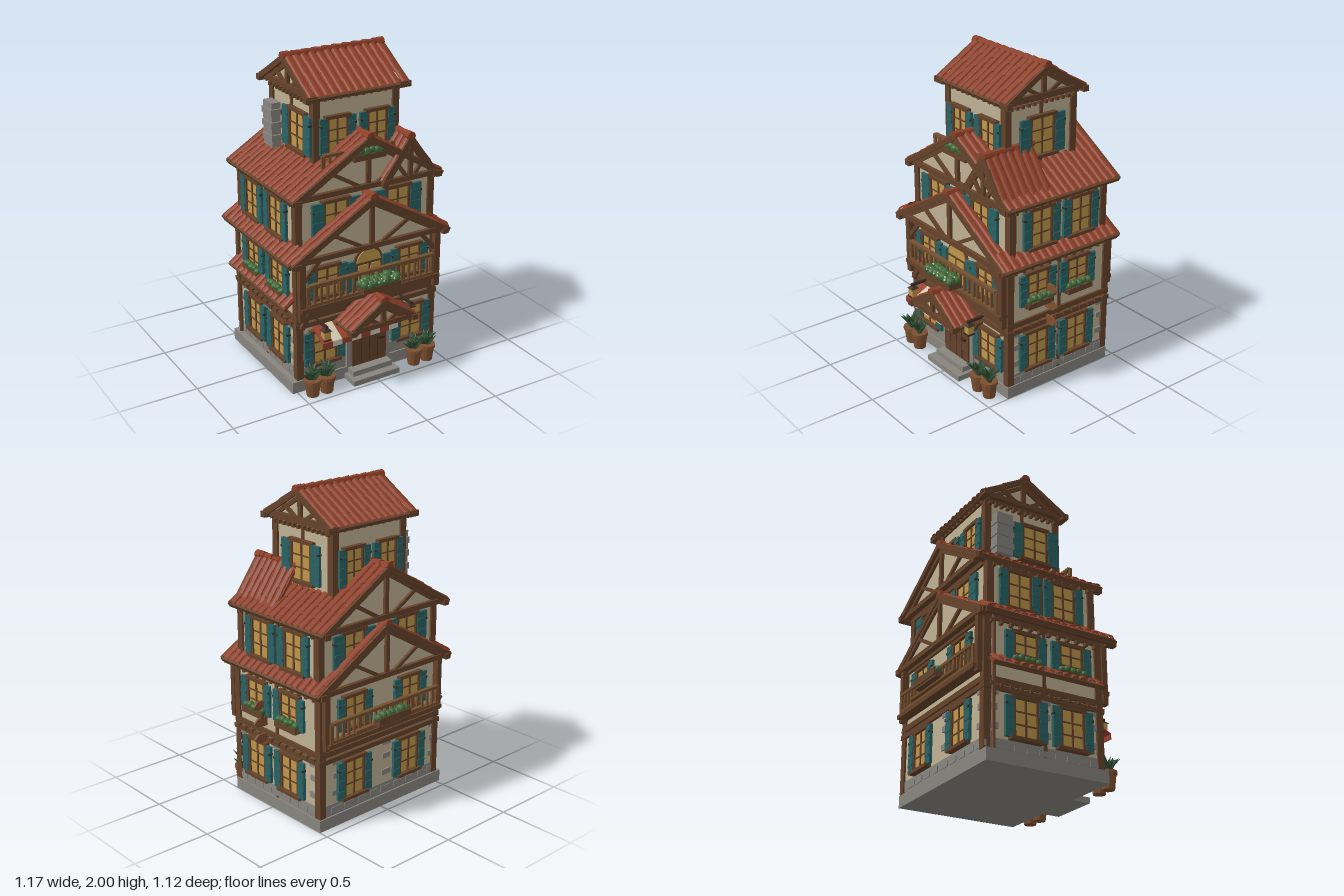
import * as THREE from 'three';
import { mergeGeometries } from 'three/addons/utils/BufferGeometryUtils.js';

const C = { tile: 0x8d3f28, wood: 0x65432a, cream: 0xbfb194, teal: 0x2a6264, glass: 0xbf964a, stone: 0x88857e, dark: 0x3c2b20,
  leaf: 0x3f6637, fern: 0x2f4d33, pot: 0x7d5030, white: 0xd0c8b0, red: 0x98402f, rail: 0x75502f };
const mats = {};
const mat = c => mats[c] ??= new THREE.MeshStandardMaterial({ color: C[c], flatShading: true, side: THREE.DoubleSide });

function mesh(parent, name, c, geo, x = 0, y = 0, z = 0) {
  const m = new THREE.Mesh(geo, mat(c));
  m.name = name;
  m.position.set(x, y, z);
  parent.add(m);
  return m;
}
const box = (p, name, c, w, h, d, x, y, z) => mesh(p, name, c, new THREE.BoxGeometry(w, h, d), x, y, z);
function group(parent, name, x = 0, y = 0, z = 0, ry = 0) {
  const g = new THREE.Group();
  g.name = name;
  g.position.set(x, y, z);
  g.rotation.y = ry;
  parent.add(g);
  return g;
}
// straight timber between two points of a plane z = const
function beam(p, name, x0, y0, x1, y1, z, t = 0.03, d = 0.02) {
  const m = box(p, name, 'wood', Math.hypot(x1 - x0, y1 - y0), t, d, (x0 + x1) / 2, (y0 + y1) / 2, z);
  m.rotation.z = Math.atan2(y1 - y0, x1 - x0);
}

// tiled slope: falls along local +x, as wide as len along z
function tileSlope(parent, name, run, len) {
  const g = group(parent, name);
  box(g, 'roofBoard', 'tile', run - 0.01, 0.016, len - 0.012, run / 2, -0.01, 0);
  box(g, 'fascia', 'wood', 0.016, 0.026, len, run - 0.006, -0.012, 0);
  const cols = Math.max(1, Math.round(len / 0.055)), rows = Math.max(1, Math.round(run / 0.085));
  const w = (len - 0.012) / cols, l = (run - 0.012) / rows, tiles = [];
  for (let i = 0; i < cols; i++) for (let j = 0; j < rows; j++) {
    const t = new THREE.CylinderGeometry(w * 0.41, w * 0.49, l * 1.06, 6, 1, true, 0, Math.PI);
    t.rotateZ(Math.PI / 2).scale(1, 0.62, 1);
    t.translate((j + 0.5) * l, (i * 7 + j * 3) % 5 * 0.0012, (i + 0.5 - cols / 2) * w);
    tiles.push(t);
  }
  mesh(g, 'roofTiles', 'tile', mergeGeometries(tiles));
  return g;
}

// gable roof, ridge along z through the group origin; ends lists the sides with a timbered gable
function gable(parent, name, { s, h, L, ends, inset = 0.045, pos, ry = 0 }) {
  const g = group(parent, name, ...pos, ry);
  for (const a of [0, Math.PI]) {
    const side = group(g, 'roofSide', 0, 0, 0, a);
    tileSlope(side, 'tiledSlope', Math.hypot(s, h), L).rotation.z = -Math.atan2(h, s);
  }
  const n = Math.max(2, Math.round(L / 0.07));
  for (let i = 0; i < n; i++) {
    const cap = new THREE.CylinderGeometry(0.017, 0.023, L / n * 1.04, 8).rotateX(Math.PI / 2);
    mesh(g, 'ridgeTile', 'tile', cap, 0, 0.004, (i + 0.5) * L / n - L / 2);
  }
  for (const e of ends) {
    const k = 0.87, z = e * (L / 2 - inset), zf = z + e * 0.014, ze = e * (L / 2 - 0.008);
    const tri = new THREE.Shape([[-s * k, -h], [s * k, -h], [s * k, -h * k], [0, -0.01], [-s * k, -h * k]].map(p => new THREE.Vector2(...p)));
    mesh(g, 'gablePanel', 'cream', new THREE.ExtrudeGeometry(tri, { depth: 0.012, bevelEnabled: false }), 0, 0, z - 0.006);
    mesh(g, 'ridgeEnd', 'tile', new THREE.CylinderGeometry(0.028, 0.028, 0.045, 8).rotateX(Math.PI / 2), 0, 0, e * (L / 2 - 0.022));
    box(g, 'tieBeam', 'wood', s * 1.9, 0.032, 0.035, 0, -h + 0.005, zf);
    box(g, 'kingPost', 'wood', 0.028, h, 0.024, 0, -h / 2 - 0.01, zf);
    for (const m of [-1, 1]) {
      beam(g, 'bargeBoard', 0, -0.012, m * (s - 0.008), -h - 0.008, ze, 0.034, 0.02);
      beam(g, 'innerRafter', 0, -0.045, m * s * k, -h * k - 0.045, zf, 0.024);
      beam(g, 'strut', m * s * 0.08, -h, m * s * 0.5, -h * 0.58, zf, 0.022);
      box(g, 'eaveEnd', 'wood', 0.04, 0.035, inset + 0.02, m * s * 0.93, -h - 0.005, z + e * inset / 2);
    }
  }
  return g;
}

function flowers(parent, name, w, x, y, z, { ry = 0, blooms = false, rows = 1, r = 0.025 } = {}) {
  const g = group(parent, name, x, y, z, ry);
  box(g, 'planter', 'wood', w, 0.035, 0.045 * rows, 0, -0.015, 0);
  const n = Math.round(w / 0.036);
  for (let i = 0; i < n; i++) for (let j = 0; j < rows; j++) {
    const px = (i + 0.5) * w / n - w / 2, pz = (j - (rows - 1) / 2) * 0.042;
    mesh(g, 'bush', 'leaf', new THREE.IcosahedronGeometry(r + (i + j) % 3 * 0.003, 1), px, 0.015 + (i + j) % 2 * 0.008, pz);
    if (blooms) for (const b of [0, 1]) mesh(g, 'bloom', 'white', new THREE.IcosahedronGeometry(0.008, 0), px + 0.01 * b, 0.038 - b * 0.012, pz + 0.012 + b * 0.01);
  }
}

// shuttered window centred on x, y, facing local +z
function windowUnit(parent, x, y, z, ry, w, h, { sw = 0.055, planter = false } = {}) {
  const g = group(parent, 'window', x, y, z, ry);
  box(g, 'glass', 'glass', w, h, 0.016, 0, 0, 0.006);
  for (const m of [-1, 1]) {
    box(g, 'jamb', 'wood', 0.014, h + 0.02, 0.03, m * w / 2, 0, 0.01);
    box(g, 'shutter', 'teal', sw, h + 0.02, 0.018, m * (w / 2 + sw / 2 + 0.006), 0, 0.02);
    for (const k of [-0.32, 0, 0.32]) box(g, 'shutterBatten', 'teal', sw * 0.9, 0.016, 0.025, m * (w / 2 + sw / 2 + 0.006), k * h, 0.021);
    box(g, 'hinge', 'dark', 0.012, 0.012, 0.027, m * (w / 2 + sw), h * 0.32, 0.021);
  }
  box(g, 'mullion', 'wood', 0.012, h, 0.024, 0, 0, 0.008);
  for (const k of [-0.17, 0.17]) box(g, 'glazingBar', 'wood', w, 0.008, 0.022, 0, k * h, 0.008);
  box(g, 'lintel', 'wood', w + 0.04, 0.02, 0.036, 0, h / 2 + 0.012, 0.012);
  box(g, 'sill', 'wood', w + 0.06, 0.02, 0.046, 0, -h / 2 - 0.012, 0.016);
  if (planter) flowers(g, 'windowFlowers', w + 0.04, 0, -h / 2 + 0.005, 0.034, { r: 0.021 });
}

function storey(parent, name, w, z0, z1, y0, y1) {
  const g = group(parent, name), d = z1 - z0, zc = (z0 + z1) / 2;
  box(g, 'walls', 'cream', w, y1 - y0, d, 0, (y0 + y1) / 2, zc);
  for (const sx of [-1, 1]) {
    for (const z of [z0, z1]) box(g, 'cornerPost', 'wood', 0.045, y1 - y0, 0.045, sx * (w / 2 - 0.01), (y0 + y1) / 2, z + (z === z0 ? 0.01 : -0.01));
    box(g, 'middlePost', 'wood', 0.02, y1 - y0, 0.022, sx * w / 2, (y0 + y1) / 2, zc);
  }
  box(g, 'topBeam', 'wood', w + 0.03, 0.035, d + 0.03, 0, y1 - 0.015, zc);
  // joist ends below the beam
  for (let i = 0; i < 12; i++) for (const sx of [-1, 1]) box(g, 'joistEnd', 'wood', 0.04, 0.022, 0.018, sx * (w / 2 + 0.01), y1 - 0.045, z0 + (i + 0.5) * d / 12);
}

function railing(parent, name, x0, x1, y, z, h) {
  const g = group(parent, name), w = x1 - x0, xc = (x0 + x1) / 2, n = Math.round(w / 0.045);
  box(g, 'topRail', 'rail', w, 0.018, 0.028, xc, y + h, z);
  box(g, 'bottomRail', 'rail', w, 0.016, 0.022, xc, y + 0.02, z);
  for (let i = 0; i <= n; i++) box(g, 'baluster', 'rail', i % 5 ? 0.013 : 0.024, h, 0.014, x0 + i * w / n, y + h / 2, z);
}

function potPlant(parent, x, z) {
  const g = group(parent, 'pottedPlant', x, 0, z);
  mesh(g, 'pot', 'pot', new THREE.CylinderGeometry(0.05, 0.038, 0.1, 12), 0, 0.05, 0);
  mesh(g, 'potRim', 'pot', new THREE.CylinderGeometry(0.055, 0.055, 0.02, 12), 0, 0.1, 0);
  for (let i = 0; i < 20; i++) {
    const a = i * 2.4, r = 0.012 + i % 5 * 0.008, tilt = r * 22;
    const leaf = mesh(g, 'leaf', 'fern', new THREE.ConeGeometry(0.017, 0.08, 4), Math.cos(a) * r, 0.135 + (i % 4) * 0.014, Math.sin(a) * r);
    leaf.rotation.set(Math.sin(a) * tilt, 0, -Math.cos(a) * tilt);
  }
}

export function createModel() {
  const house = new THREE.Group();
  house.name = 'house';
  const Q = Math.PI / 2;

  // stone base, plinth courses and steps
  box(house, 'foundation', 'stone', 1.03, 0.075, 0.795, -0.015, 0.0375, -0.042);
  box(house, 'plinth', 'stone', 0.985, 0.08, 0.775, 0, 0.11, -0.042);
  for (let i = 0; i < 9; i++) for (const y of [0.11, 0.22, 0.33, 0.42]) {
    const w = 0.05 + (i * 5 + y * 100) % 4 * 0.012, u = -0.38 + i * 0.085;
    if (y > 0.2 && i % 4) continue;
    for (const m of [-1, 1]) box(house, 'wallStone', 'stone', 0.016, 0.035, w, m * 0.488, y, u);
    box(house, 'wallStone', 'stone', w, 0.035, 0.016, u * 1.2, y, -0.426);
  }
  box(house, 'lowerStep', 'stone', 0.33, 0.035, 0.13, -0.005, 0.0175, 0.41);
  box(house, 'upperStep', 'stone', 0.28, 0.07, 0.08, -0.005, 0.035, 0.385);

  // four storeys
  storey(house, 'groundFloor', 0.97, -0.425, 0.34, 0.08, 0.5);
  storey(house, 'firstFloor', 0.97, -0.425, 0.34, 0.48, 0.88);
  storey(house, 'secondFloor', 0.94, -0.4, 0.315, 0.87, 1.25);
  storey(house, 'tower', 0.56, -0.31, 0.2, 1.22, 1.79);
  box(house, 'floorBand', 'wood', 1.01, 0.03, 0.8, 0, 0.44, -0.042);

  for (const m of [-1, 1]) {
    // side windows
    for (const z of [0.135, -0.172]) {
      windowUnit(house, m * 0.485, 0.285, z, m * Q, 0.15, 0.22);
      windowUnit(house, m * 0.485, 0.7, z, m * Q, 0.15, 0.18, { planter: true });
    }
    for (const z of [0.1, -0.2]) windowUnit(house, m * 0.47, 1.07, z, m * Q, 0.15, 0.22);
    windowUnit(house, m * 0.28, 1.54, m > 0 ? -0.055 : 0.03, m * Q, 0.17, 0.22, { sw: 0.075 });
    // front and back windows
    windowUnit(house, m * 0.31, 0.275, 0.34, 0, 0.16, 0.2);
    windowUnit(house, m * 0.29, 0.7, 0.34, 0, 0.15, 0.17);
    windowUnit(house, m * 0.215, 1.07, 0.315, 0, 0.155, 0.22, { sw: 0.08 });
    windowUnit(house, m * 0.135, 1.54, 0.2, 0, 0.13, 0.2, { sw: 0.05 });
    windowUnit(house, m * 0.23, 0.285, -0.425, Math.PI, 0.15, 0.22);
    windowUnit(house, m * 0.23, 0.71, -0.425, Math.PI, 0.15, 0.18);
    windowUnit(house, m * 0.215, 1.07, -0.4, Math.PI, 0.155, 0.22, { sw: 0.08 });
    windowUnit(house, m * 0.135, 1.54, -0.31, Math.PI, 0.13, 0.2, { sw: 0.05 });
    // skirt roof along the sides
    const skirt = group(house, 'skirtRoof', m * 0.45 - 0.012, 0.955, -0.028, m > 0 ? 0 : Math.PI);
    tileSlope(skirt, 'skirtSlope', 0.137, 0.87).rotation.z = -0.6;
    box(skirt, 'eaveBeam', 'wood', 0.025, 0.03, 0.86, 0.09, -0.088, 0);
  }
  const leanTo = group(house, 'sideLeanTo', -0.47, 0.64, -0.04, Math.PI);
  tileSlope(leanTo, 'leanToSlope', 0.12, 0.74).rotation.z = -0.65;

  // roofs
  gable(house, 'mainRoof', { s: 0.518, h: 0.31, L: 0.855, ends: [-1, 1], pos: [0, 1.545, -0.058] });
  gable(house, 'frontLowerGable', { s: 0.552, h: 0.32, L: 0.11, ends: [1], pos: [-0.008, 1.195, 0.373] });
  gable(house, 'backLowerGable', { s: 0.552, h: 0.32, L: 0.08, ends: [-1], inset: 0.03, pos: [-0.008, 1.195, -0.437] });
  gable(house, 'dormer', { s: 0.195, h: 0.26, L: 0.37, ends: [1], inset: 0.025, pos: [0.28, 1.5, 0.186] });
  gable(house, 'towerRoof', { s: 0.305, h: 0.185, L: 0.69, ends: [-1, 1], inset: 0.055, pos: [-0.002, 1.97, -0.057], ry: Q });
  for (let i = 0; i < 12; i++) for (const z of [-0.325, 0.215]) box(house, 'rafterEnd', 'wood', 0.018, 0.028, 0.06, -0.28 + i * 0.051, 1.775, z);
  flowers(house, 'gableFlowers', 0.22, 0, 1.44, 0.34);
  railing(house, 'roofRailing', -0.28, 0.2, 1.36, 0.3, 0.1);

  // chimney of stacked blocks
  for (let i = 0; i < 7; i++) box(house, 'chimneyBlock', 'stone', 0.06 + i % 2 * 0.012, 0.038, 0.11 + i % 2 * 0.012, -0.33, 1.4 + i * 0.04, -0.22);

  // front balcony with arched door
  box(house, 'balconyFloor', 'wood', 0.98, 0.025, 0.09, 0, 0.565, 0.365);
  box(house, 'balconyJoist', 'wood', 0.96, 0.028, 0.03, 0, 0.515, 0.355);
  railing(house, 'frontRailing', -0.44, 0.44, 0.57, 0.397, 0.145);
  flowers(house, 'balconyFlowers', 0.26, 0, 0.66, 0.465, { blooms: true, rows: 2, r: 0.028 });
  for (const m of [-1, 1]) {
    box(house, 'balconyPost', 'wood', 0.04, 0.4, 0.035, m * 0.475, 0.69, 0.38);
    beam(house, 'balconyBrace', m * 0.46, 0.75, m * 0.36, 0.86, 0.385, 0.025);
    beam(house, 'balconyBracket', m * 0.47, 0.43, m * 0.4, 0.55, 0.365, 0.028);
  }
  mesh(house, 'archedDoorFrame', 'wood', new THREE.CylinderGeometry(0.1, 0.1, 0.02, 20, 1, false, Q, Math.PI).rotateX(Q), 0, 0.755, 0.342);
  mesh(house, 'archedDoorLight', 'glass', new THREE.CylinderGeometry(0.085, 0.085, 0.034, 20, 1, false, Q, Math.PI).rotateX(Q), 0, 0.755, 0.342);
  box(house, 'balconyDoor', 'wood', 0.19, 0.19, 0.03, 0, 0.665, 0.345);
  for (const m of [-1, 1]) {
    box(house, 'balconyDoorPane', 'glass', 0.07, 0.15, 0.036, m * 0.043, 0.67, 0.347);
    box(house, 'balconyDoorShutter', 'teal', 0.05, 0.2, 0.02, m * 0.125, 0.68, 0.355);
  }

  // back balcony
  box(house, 'backBalconyFloor', 'wood', 0.94, 0.025, 0.07, 0, 0.555, -0.455);
  railing(house, 'backRailing', -0.44, 0.44, 0.56, -0.475, 0.13);
  box(house, 'backLedge', 'rail', 0.54, 0.016, 0.03, 0, 0.6, -0.49);
  flowers(house, 'backFlowers', 0.26, 0, 0.635, -0.52, { ry: Math.PI });
  box(house, 'backFlowerBoard', 'wood', 0.26, 0.045, 0.008, 0, 0.635, -0.55);
  for (const m of [-1, 1]) box(house, 'backPost', 'wood', 0.035, 0.35, 0.03, m * 0.465, 0.7, -0.455);

  // entrance: door, porch roof and awning
  box(house, 'doorFrame', 'stone', 0.31, 0.34, 0.03, 0, 0.24, 0.345);
  box(house, 'frontDoor', 'wood', 0.245, 0.3, 0.035, 0, 0.225, 0.355);
  for (const x of [-0.06, 0, 0.06]) box(house, 'doorGroove', 'dark', 0.004, 0.28, 0.037, x, 0.225, 0.356);
  box(house, 'doorHandle', 'dark', 0.04, 0.015, 0.02, 0.085, 0.23, 0.378);
  gable(house, 'porchRoof', { s: 0.235, h: 0.155, L: 0.2, ends: [1], inset: 0.03, pos: [-0.008, 0.575, 0.452] });
  for (const m of [-1, 1]) beam(house, 'porchBracket', m * 0.2, 0.36, m * 0.24, 0.43, 0.37, 0.03, 0.05);
  for (let i = 0; i < 8; i++) {
    const x = -0.36 + i * 0.066, c = i % 2 ? 'white' : 'red';
    box(house, 'awningStripe', c, 0.066, 0.01, 0.155, x, 0.395, 0.41).rotation.x = 0.45;
    box(house, 'awningValance', c, 0.066, 0.035, 0.008, x, 0.347, 0.479);
  }
  for (const x of [-0.355, 0.245]) {
    box(house, 'lanternArm', 'dark', 0.016, 0.016, 0.13, x, 0.455, 0.4);
    box(house, 'lanternGlass', 'glass', 0.042, 0.055, 0.042, x, 0.405, 0.45);
    mesh(house, 'lanternCap', 'dark', new THREE.ConeGeometry(0.04, 0.025, 4).rotateY(Math.PI / 4), x, 0.443, 0.45);
    box(house, 'lanternFoot', 'dark', 0.05, 0.01, 0.05, x, 0.374, 0.45);
  }
  for (const [x, z] of [[-0.43, 0.42], [-0.335, 0.425], [0.3, 0.425], [0.4, 0.42]]) potPlant(house, x, z);

  // arrow boards on the side wall
  const arrow = new THREE.Shape([[0, -0.028], [0.07, -0.028], [0.1, 0], [0.07, 0.028], [0, 0.028]].map(p => new THREE.Vector2(...p)));
  for (const y of [0.67, 0.56, 0.455]) mesh(house, 'arrowBoard', 'pot', new THREE.ExtrudeGeometry(arrow, { depth: 0.014, bevelEnabled: false }), 0.487, y, 0.05);
  // rain pipe at the back corner
  mesh(house, 'rainPipe', 'wood', new THREE.CylinderGeometry(0.012, 0.012, 0.8, 8), -0.505, 0.48, -0.38);
  return house;
}
